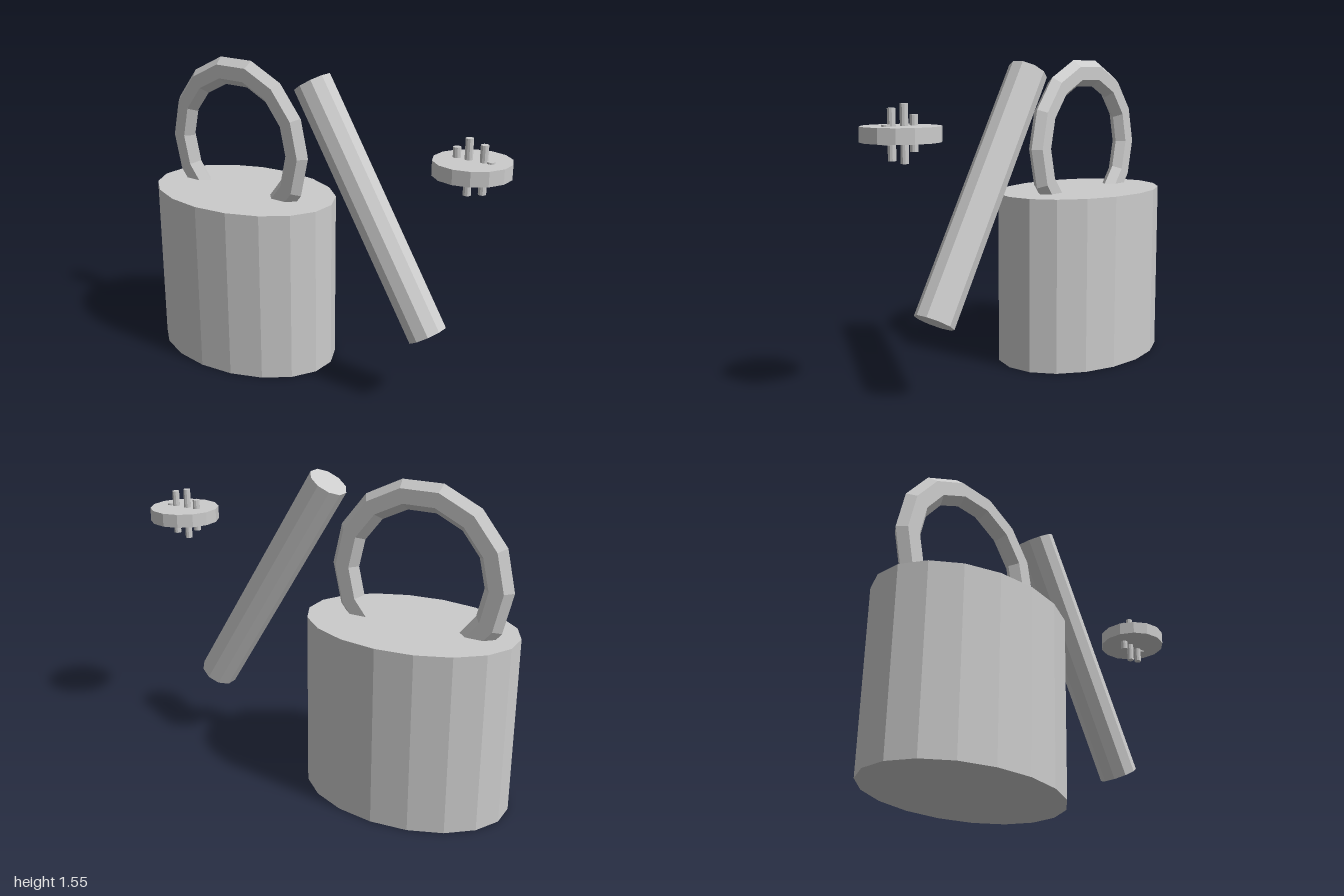
import * as THREE from 'three';

const material = new THREE.MeshStandardMaterial({ color: 0xcccccc, flatShading: true });

function addPart(parent, name, geometry, x, y, z = 0) {
  const mesh = new THREE.Mesh(geometry, material);
  mesh.name = name;
  mesh.position.set(x, y, z);
  parent.add(mesh);
  return mesh;
}

// Faceted upright cylinder
const rod = (radius, height, sides) =>
  new THREE.CylinderGeometry(radius, radius, height, sides);

export function createModel() {
  const model = new THREE.Group();
  model.name = 'padlockAndPins';
  const depth = 0.707; // the padlock is flattened front to back

  // Padlock: oval body with a ring shackle sunk into its top
  const padlock = new THREE.Group();
  padlock.name = 'padlock';
  padlock.scale.z = depth;
  model.add(padlock);
  addPart(padlock, 'lockBody', rod(0.523, 0.875, 18), -0.484, 0.4375);
  addPart(padlock, 'shackle', new THREE.TorusGeometry(0.384, 0.07, 6, 14), -0.52, 1.105);

  // Leaning bar
  const bar = addPart(model, 'bar', rod(0.097, 1.307, 10), 0.304, 0.932);
  bar.rotation.z = 0.549;

  // Disc pierced by a row of pins of different lengths
  const disc = new THREE.Group();
  disc.name = 'pinDisc';
  disc.position.set(0.828, 1.229, 0);
  model.add(disc);
  addPart(disc, 'disc', rod(0.175, 0.067, 14), 0, 0);
  const pins = [[-0.078, 0.16], [-0.02, 0.255], [0.053, 0.22], [0.086, 0.084]];
  for (const [x, length] of pins) addPart(disc, 'pin', rod(0.018, length, 10), x, 0);

  return model;
}
